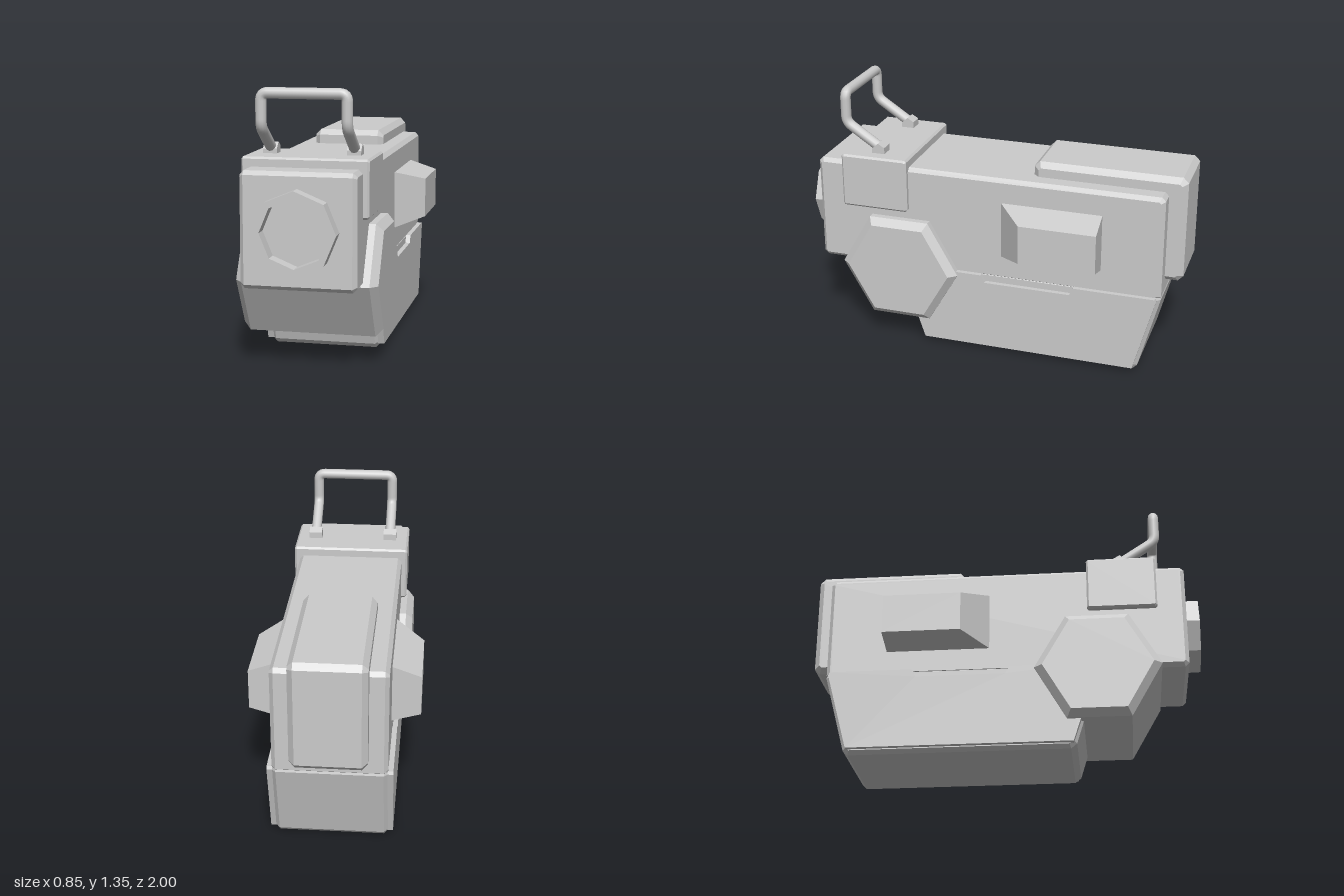
import * as THREE from 'three';
import { ConvexGeometry } from 'three/addons/geometries/ConvexGeometry.js';

export function createModel() {
  const group = new THREE.Group();
  const flat = new THREE.MeshStandardMaterial({ color: 0xcccccc, flatShading: true });
  const smooth = new THREE.MeshStandardMaterial({ color: 0xcccccc });

  const add = (name, geometry, material = flat) => {
    const mesh = new THREE.Mesh(geometry, material);
    mesh.name = name;
    group.add(mesh);
    return mesh;
  };

  // Side outline given as [z, y], extruded across x with chamfered rims
  const slab = (points, halfWidth, bevel) => {
    const shape = new THREE.Shape(points.map(([z, y]) => new THREE.Vector2(z, y)));
    const depth = 2 * (halfWidth - bevel);
    const g = new THREE.ExtrudeGeometry(shape, {
      depth, bevelEnabled: bevel > 0, bevelSize: bevel, bevelThickness: bevel,
      bevelOffset: -bevel, bevelSegments: 1,
    });
    return g.translate(0, 0, -depth / 2).rotateY(-Math.PI / 2);
  };

  // Box with all edges chamfered by c
  const chamferBox = (halfWidth, y0, y1, z0, z1, c) => slab([
    [z0 + c, y0], [z1 - c, y0], [z1, y0 + c], [z1, y1 - c],
    [z1 - c, y1], [z0 + c, y1], [z0, y1 - c], [z0, y0 + c],
  ], halfWidth, c);

  // Housing
  add('upperBody', chamferBox(0.28, 0.415, 0.975, -0.91, 0.93, 0.02));
  add('lowerBody', slab([
    [0.43, 0.25], [0.36, 0.025], [0.33, 0], [-0.78, 0],
    [-0.805, 0.025], [-0.91, 0.42], [-0.9, 0.45], [0.43, 0.45],
  ], 0.28, 0.02));

  // Raised side plates with a stepped top edge
  add('sidePlates', slab([
    [0.42, 0.25], [0.345, 0.025], [-0.785, 0.025], [-0.892, 0.42], [-0.885, 0.435],
    [-0.465, 0.435], [-0.445, 0.395], [0.01, 0.395], [0.03, 0.435], [0.42, 0.435],
  ], 0.305, 0));

  // Saddle block and the block wrapped over the top rear
  add('saddleBlock', chamferBox(0.31, 0.738, 1.022, 0.428, 0.785, 0.01));
  add('rearBlock', chamferBox(0.187, 0.49, 1.05, -1, -0.215, 0.028));

  // Hexagonal drum through the lower front
  const hexagon = [];
  for (let i = 0; i < 6; i++) {
    const a = (i * Math.PI) / 3;
    hexagon.push([0.475 + 0.32 * Math.cos(a), 0.417 + 0.32 * Math.sin(a)]);
  }
  add('hexDrum', slab(hexagon, 0.35, 0.036));

  // Octagonal lens ring
  const octagon = (r) => Array.from({ length: 8 }, (_, i) =>
    new THREE.Vector2(r * Math.cos((i * Math.PI) / 4), r * Math.sin((i * Math.PI) / 4)));
  const ringShape = new THREE.Shape(octagon(0.2));
  ringShape.holes.push(new THREE.Path(octagon(0.165)));
  const ring = new THREE.ExtrudeGeometry(ringShape, { depth: 0.08, bevelEnabled: false });
  add('lensRing', ring.translate(0, 0.698, 0.92));

  for (const [side, s] of [['left', 1], ['right', -1]]) {
    // Tapered side pod
    const pod = [
      [0.27, 0.545, -0.065], [0.27, 0.85, -0.065], [0.27, 0.545, -0.6], [0.27, 0.85, -0.6],
      [0.425, 0.593, -0.207], [0.425, 0.798, -0.207], [0.425, 0.593, -0.605], [0.425, 0.798, -0.605],
    ].map(([x, y, z]) => new THREE.Vector3(s * x, y, z));
    add(side + 'Pod', new ConvexGeometry(pod));

    // Handle foot, an upright hexagonal wedge
    const foot = slab([
      [0.57, 1.01], [0.638, 1.01], [0.638, 1.045], [0.605, 1.075], [0.57, 1.055],
    ], 0.035, 0);
    add(side + 'HandleFoot', foot.translate(s * 0.207, 0, 0));
  }

  // Bent carrying handle: straight runs joined by short curves
  const v = (x, y, z) => new THREE.Vector3(x, y, z);
  const stops = [
    v(-0.207, 1.04, 0.6), v(-0.207, 1.165, 0.79), v(-0.207, 1.325, 0.79),
    v(0.207, 1.325, 0.79), v(0.207, 1.165, 0.79), v(0.207, 1.04, 0.6),
  ];
  const path = new THREE.CurvePath();
  let from = stops[0];
  for (let i = 1; i < stops.length - 1; i++) {
    const p = stops[i];
    const toward = (q) => p.clone().add(q.clone().sub(p).setLength(0.035));
    const a = toward(stops[i - 1]);
    const b = toward(stops[i + 1]);
    path.add(new THREE.LineCurve3(from, a));
    path.add(new THREE.QuadraticBezierCurve3(a, p, b));
    from = b;
  }
  path.add(new THREE.LineCurve3(from, stops[5]));
  add('handle', new THREE.TubeGeometry(path, 120, 0.027, 12), smooth);

  return group;
}
